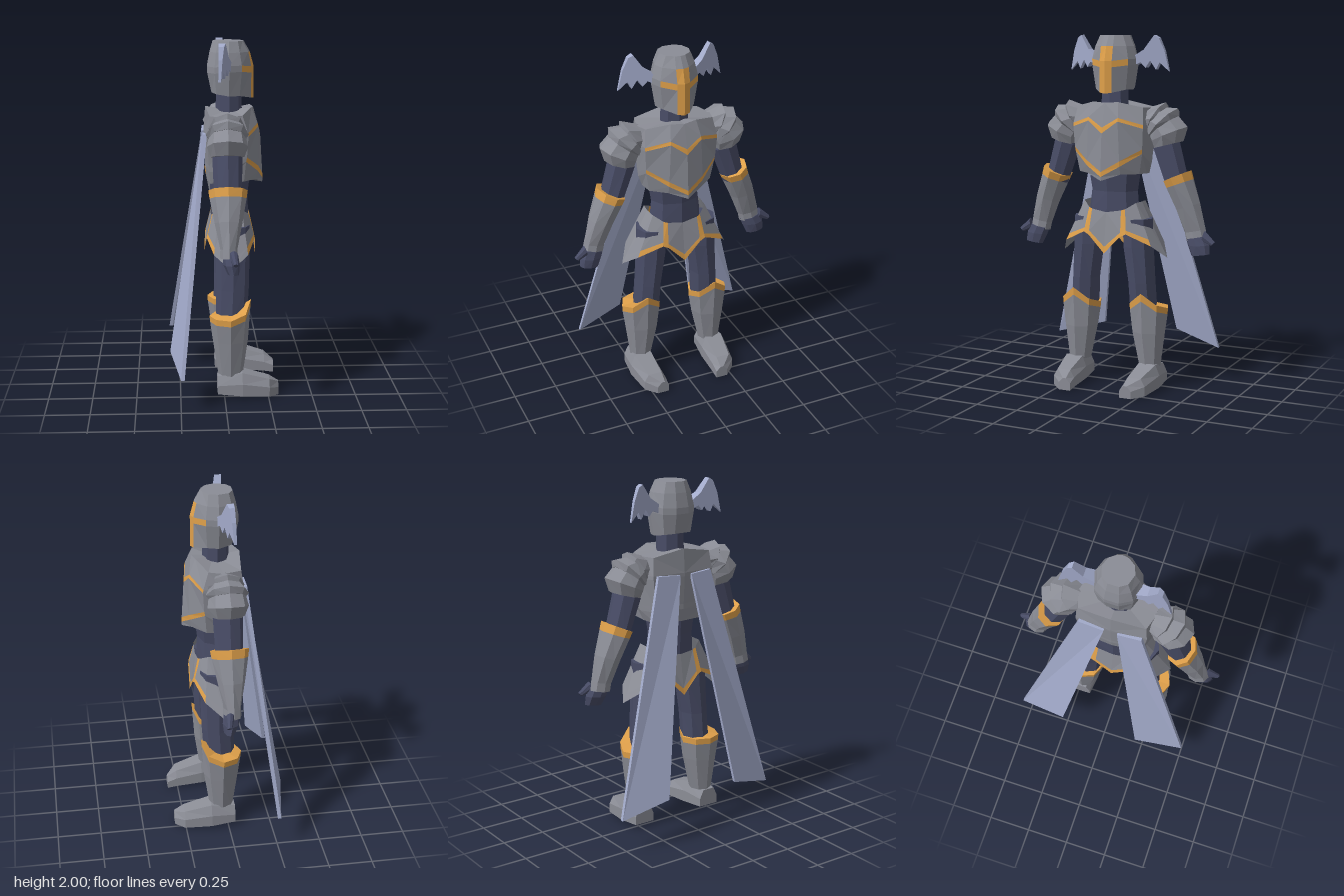
import * as THREE from 'three';

const material = (name, color) => {
  const m = new THREE.MeshStandardMaterial({ color });
  m.name = name;
  return m;
};

export function createModel() {
  const steel = material('steel grey', 0x8b8d96);
  const cloth = material('dark blue cloth', 0x484c66);
  const gold = material('gold trim', 0xdfa04a);
  const pale = material('pale lavender', 0xa3abcb);
  const skirtSteel = material('skirt steel', 0x8b8d96);
  const skirtGold = material('skirt gold', 0xdfa04a);
  skirtSteel.side = skirtGold.side = THREE.DoubleSide;

  // The figure is modelled facing +z, then turned to face +x.
  const figure = new THREE.Group();
  figure.name = 'figure';
  figure.rotation.y = Math.PI / 2;

  // Flat-shaded skin over rings of [x, y, z]; paint(row, halfColumn) picks the colour.
  function loft(name, rings, paint, capped = true) {
    const n = rings[0].length;
    const pick = typeof paint === 'function' ? paint : () => paint;
    const V = rings.map(r => r.map(p => new THREE.Vector3(...p)));
    const mid = r => r.reduce((a, p) => a.add(p), new THREE.Vector3()).divideScalar(r.length);
    const centre = mid(V.flat());
    const tris = new Map();
    let volume = 0;
    const add = (m, a, b, c) => {
      if (!tris.has(m)) tris.set(m, []);
      tris.get(m).push([a, b, c]);
      const [u, v, w] = [a, b, c].map(p => p.clone().sub(centre));
      volume += u.dot(v.cross(w));
    };
    for (let i = 0; i + 1 < V.length; i++) {
      for (let j = 0; j < n; j++) {
        const k = (j + 1) % n, m = pick(i, Math.min(j, n - 1 - j));
        // Split each quad the mirrored way on the far half so both sides match.
        if (j < n / 2) {
          add(m, V[i][j], V[i + 1][j], V[i + 1][k]);
          add(m, V[i][j], V[i + 1][k], V[i][k]);
        } else {
          add(m, V[i][j], V[i + 1][j], V[i][k]);
          add(m, V[i][k], V[i + 1][j], V[i + 1][k]);
        }
      }
    }
    if (capped) {
      const end = V[V.length - 1], c0 = mid(V[0]), c1 = mid(end);
      for (let j = 0; j < n; j++) {
        const k = (j + 1) % n;
        add(pick(0, n), c0, V[0][j], V[0][k]);
        add(pick(V.length - 2, n), c1, end[k], end[j]);
      }
    }
    const geo = new THREE.BufferGeometry(), pts = [], mats = [...tris.keys()];
    mats.forEach((m, i) => {
      const list = tris.get(m);
      geo.addGroup(pts.length, list.length * 3, i);
      list.forEach(([a, b, c]) => pts.push(...(volume < 0 ? [a, c, b] : [a, b, c])));
    });
    geo.setFromPoints(pts);
    geo.computeVertexNormals();
    return place(name, geo, mats.length > 1 ? mats : mats[0]);
  }
  function place(name, geo, mat) {
    const mesh = new THREE.Mesh(geo, mat);
    mesh.name = name;
    figure.add(mesh);
    return mesh;
  }
  // Full ring from its +x half, listed front to back.
  const mirror = half => [...half, ...half.filter(p => p[0] > 0).reverse().map(([x, y, z]) => [-x, y, z])];
  // Level oval ring; peak lifts its front point.
  const oval = (x, y, z, rx, rz, peak = 0, n = 8) => Array.from({ length: n }, (_, i) => {
    const a = i / n * Math.PI * 2;
    const lift = Math.cos(a) > 0.01 ? peak * (1 - Math.abs(Math.sin(a))) : 0;
    return [x + rx * Math.sin(a), y + lift, z + rz * Math.cos(a)];
  });
  // Slanted oval ring spanning an outer and an inner point.
  const slant = (s, ox, oy, ix, iy, rz, cz = 0.012) => Array.from({ length: 8 }, (_, i) => {
    const a = i / 8 * Math.PI * 2, t = Math.sin(a) / 2;
    return [s * ((ox + ix) / 2 + (ox - ix) * t), (oy + iy) / 2 + (oy - iy) * t, cz + rz * Math.cos(a)];
  });

  // Helmet with a gold cross over the ridged face
  const brow = y => [[0, y, .172], [.037, y, .157], [.11, y + .01, .10], [.135, y + .01, .03], [.105, y, -.05], [.04, y, -.088]];
  loft('helmet', [
    [[0, 2, .115], [.03, 2, .108], [.07, 2, .08], [.088, 2, .03], [.07, 2, -.03], [.03, 2, -.056]],
    [[0, 1.94, .15], [.037, 1.94, .14], [.095, 1.94, .09], [.115, 1.94, .03], [.09, 1.94, -.042], [.035, 1.94, -.073]],
    brow(1.86), brow(1.825),
    [[0, 1.68, .172], [.037, 1.685, .157], [.092, 1.70, .09], [.112, 1.70, .03], [.09, 1.71, -.04], [.035, 1.715, -.065]],
  ].map(mirror), (row, col) => (row > 0 && col === 0) || (row === 2 && col === 1) ? gold : steel);
  loft('neck', [oval(0, 1.76, .033, .08, .07), oval(0, 1.58, .033, .085, .075)], cloth);

  // Breastplate with a gold zigzag on the chest and a gold V at the waist
  loft('breastplate', [
    [[0, 1.63, .17], [.075, 1.635, .155], [.2, 1.605, .10], [.22, 1.6, .02], [.19, 1.6, -.08], [0, 1.635, -.10]],
    [[0, 1.495, .207], [.09, 1.55, .19], [.215, 1.51, .13], [.23, 1.5, .02], [.2, 1.5, -.095], [0, 1.5, -.11]],
    [[0, 1.463, .212], [.09, 1.53, .195], [.215, 1.49, .132], [.23, 1.48, .02], [.2, 1.48, -.095], [0, 1.48, -.11]],
    [[0, 1.25, .225], [.1, 1.31, .195], [.208, 1.375, .125], [.215, 1.32, .02], [.18, 1.32, -.085], [0, 1.32, -.10]],
    [[0, 1.222, .226], [.1, 1.28, .193], [.206, 1.35, .12], [.212, 1.29, .02], [.178, 1.29, -.083], [0, 1.29, -.10]],
    [[0, 1.2, .225], [.1, 1.235, .18], [.185, 1.235, .11], [.19, 1.23, .02], [.165, 1.22, -.075], [0, 1.22, -.09]],
  ].map(mirror), (row, col) => (row === 1 || row === 3) && col < 2 ? gold : steel);
  loft('waist', [oval(0, 1.28, .04, .168, .12), oval(0, 1.13, .035, .143, .105),
    oval(0, 1.02, .04, .155, .105), oval(0, .88, .045, .15, .1)], cloth);

  // Pointed armour skirt, gold along the front and back hems
  const skirtTop = [[0, 1.015, .153], [.09, 1.03, .148], [.112, 1.037, .14], [.16, 1.07, .10], [.166, 1.07, .03],
    [.16, 1.07, -.03], [.112, 1.04, -.062], [.09, 1.03, -.066], [0, 1.02, -.072]];
  const skirtHem = [[0, .785, .185], [.098, .885, .18], [.13, .90, .175], [.265, .835, .13], [.325, .76, .035],
    [.265, .835, -.06], [.13, .90, -.095], [.098, .885, -.10], [0, .785, -.107]];
  const skirtTrim = skirtHem.map((p, i) => p.map((v, k) => v + (skirtTop[i][k] - v) * 0.16));
  loft('armourSkirt', [skirtTop, skirtTrim, skirtHem].map(mirror), (row, col) =>
    col === 1 || col === 6 || (row === 1 && (col < 3 || col > 4)) ? skirtGold : skirtSteel, false);

  for (const [s, side] of [[1, 'left'], [-1, 'right']]) {
    // Helmet wing, thick at the root and thin at the tip
    const outline = [[.11, 1.88], [.17, 1.92], [.225, 2], [.25, 1.985], [.28, 1.915], [.305, 1.80],
      [.255, 1.85], [.235, 1.81], [.205, 1.86], [.18, 1.82], [.155, 1.85], [.11, 1.83]];
    const wing = new THREE.ExtrudeGeometry(
      new THREE.Shape(outline.map(([x, y]) => new THREE.Vector2(x * s, y))), { depth: 1, bevelEnabled: false });
    const p = wing.attributes.position;
    for (let i = 0; i < p.count; i++) {
      const t = (Math.abs(p.getX(i)) - .11) / .195;
      p.setZ(i, .012 - .042 * t + (p.getZ(i) - .5) * (.07 - .055 * t));
    }
    wing.computeVertexNormals();
    place(side + 'HelmetWing', wing, pale);

    // Shoulder armour in three overlapping plates
    loft(side + 'UpperShoulderPlate', [slant(s, .2, 1.6, .18, 1.47, .07), slant(s, .302, 1.632, .2, 1.46, .1),
      slant(s, .31, 1.60, .21, 1.46, .085)], steel);
    loft(side + 'MiddleShoulderPlate', [slant(s, .29, 1.605, .2, 1.46, .09), slant(s, .374, 1.6, .21, 1.43, .118),
      slant(s, .38, 1.56, .215, 1.43, .1)], steel);
    loft(side + 'LowerShoulderPlate', [slant(s, .365, 1.57, .21, 1.44, .1), slant(s, .432, 1.5, .22, 1.41, .112),
      slant(s, .408, 1.42, .235, 1.375, .092)], steel);

    // Arm, gauntlet with gold cuff, and hand
    loft(side + 'UpperArm', [slant(s, .385, 1.46, .24, 1.41, .08), slant(s, .385, 1.42, .23, 1.37, .082),
      slant(s, .44, 1.2, .315, 1.15, .075)], cloth);
    loft(side + 'Gauntlet', [slant(s, .452, 1.258, .298, 1.19, .107), slant(s, .466, 1.21, .315, 1.155, .1),
      slant(s, .51, 1.08, .37, 1.035, .075), slant(s, .545, .935, .42, .91, .046), slant(s, .555, .885, .43, .865, .048)],
    row => row === 0 ? gold : steel);
    loft(side + 'Hand', [slant(s, .553, .9, .432, .875, .042, .02), slant(s, .575, .85, .445, .84, .045, .025),
      slant(s, .578, .8, .47, .785, .03, .035)], cloth);
    loft(side + 'Thumb', [slant(s, .55, .93, .535, .87, .025, .035), slant(s, .612, .872, .59, .85, .014, .045)], cloth);

    // Leg, greave with gold peaked top, and boot
    loft(side + 'Thigh', [oval(s * .15, .98, .05, .09, .095), oval(s * .155, .82, .05, .09, .095),
      oval(s * .175, .62, .048, .078, .092), oval(s * .185, .44, .04, .08, .088)], cloth);
    loft(side + 'Greave', [oval(s * .212, .47, .033, .118, .117, .095), oval(s * .212, .435, .033, .116, .114, .085),
      oval(s * .213, .33, .034, .1, .1), oval(s * .222, .13, .035, .064, .07)],
    row => row === 0 ? gold : steel);
    const bootRing = ([z, xi, xo, top, sole]) => [[xi, sole], [xo, sole], [xo, top * .6], [xo - .025, top],
      [xi + .025, top], [xi, top * .6]].map(([x, y]) => [s * x, y, z]);
    loft(side + 'Boot', [[-.04, .17, .295, .13, .03], [.10, .155, .308, .15, .02],
      [.255, .155, .285, .105, .008], [.31, .155, .225, .07, 0]].map(bootRing), steel);
  }

  // Two stiff cape strips spreading from the shoulder blades
  const edge = (xi, yi, zi, xo, yo, zo) => [[xi, yi, zi], [xo, yo, zo], [xo, yo, zo - .02], [xi, yi, zi - .02]];
  loft('leftCapeStrip', [edge(.035, 1.49, -.1, .18, 1.5, -.095), edge(.25, .27, -.292, .533, .195, -.245)], pale);
  loft('rightCapeStrip', [edge(-.04, 1.49, -.1, -.175, 1.5, -.095), edge(-.22, .265, -.288, -.505, .19, -.23)], pale);

  const model = new THREE.Group();
  model.name = 'knight';
  model.add(figure);
  return model;
}
